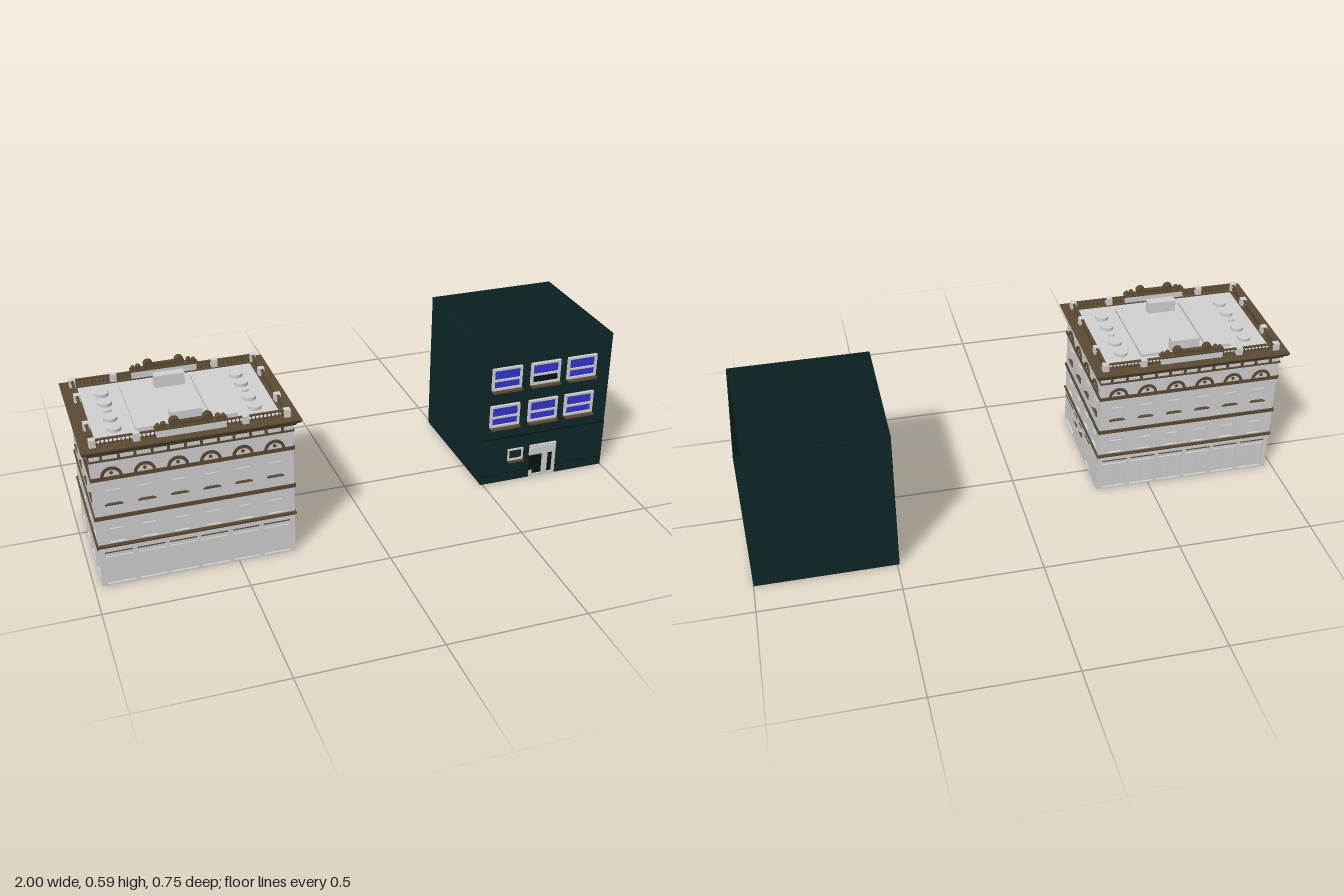
import * as THREE from 'three';
import { mergeGeometries } from 'three/addons/utils/BufferGeometryUtils.js';

const mat = (name, color, side = THREE.FrontSide) => {
  const m = new THREE.MeshStandardMaterial({ color, side });
  m.name = name;
  return m;
};

export function createModel() {
  const stone = mat('pale stone', 0xd0d0d0);
  const trim = mat('brown trim', 0x5c4a32);
  const teal = mat('dark teal wall', 0x0e2628);
  const glass = mat('blue glass', 0x3434d0);
  const ink = mat('black line', 0x081414);

  const root = new THREE.Group();
  root.name = 'twoBuildings';
  const group = (parent, name) => {
    const g = new THREE.Group();
    g.name = name;
    parent.add(g);
    return g;
  };
  const add = (parent, name, geo, m) => {
    const mesh = new THREE.Mesh(geo, m);
    mesh.name = name;
    parent.add(mesh);
    return mesh;
  };
  // Box given by its minimum and maximum corners
  const boxGeo = (x0, x1, y0, y1, z0, z1) =>
    new THREE.BoxGeometry(x1 - x0, y1 - y0, z1 - z0).translate((x0 + x1) / 2, (y0 + y1) / 2, (z0 + z1) / 2);
  const box = (p, name, m, ...b) => add(p, name, boxGeo(...b), m);
  const rectPath = (T, x0, x1, y0, y1) => {
    const s = new T();
    s.moveTo(x0, y0).lineTo(x1, y0).lineTo(x1, y1).lineTo(x0, y1).closePath();
    return s;
  };

  // ---------- Ornate building (local origin at its plan centre) ----------
  const HX = 0.3375, HZ = 0.2355, T = 0.008;
  const ornate = group(root, 'ornateBuilding');
  ornate.position.set(-0.635, 0, 0.1125);

  // Moulding: profile of [offset from wall, y] swept round the rectangle
  const moulding = (name, profile, m) => {
    const pos = [];
    const ring = ([o, y]) => [[-HX - o, y, HZ + o], [HX + o, y, HZ + o], [HX + o, y, -HZ - o], [-HX - o, y, -HZ - o]];
    for (let i = 0; i < profile.length - 1; i++) {
      const a = ring(profile[i]), b = ring(profile[i + 1]);
      for (let k = 0; k < 4; k++) {
        const n = (k + 1) % 4;
        pos.push(...a[k], ...a[n], ...b[n], ...a[k], ...b[n], ...b[k]);
      }
    }
    const g = new THREE.BufferGeometry();
    g.setAttribute('position', new THREE.Float32BufferAttribute(pos, 3));
    g.computeVertexNormals();
    return add(ornate, name, g, m);
  };

  box(ornate, 'core', stone, -HX + T, HX - T, 0, 0.525, -HZ + T, HZ - T);

  // One facade: pierced wall panel, windows, arched hoods and brackets
  const facade = (name, half, depth, angle, bays, ground) => {
    const f = group(ornate, name);
    f.rotation.y = angle;
    const pitch = (half * 2 - 0.022) / bays;
    const centres = Array.from({ length: bays }, (_, i) => (i - (bays - 1) / 2) * pitch);
    const wall = rectPath(THREE.Shape, -half, half, 0, 0.505);
    const hole = (...r) => wall.holes.push(rectPath(THREE.Path, ...r));
    const pale = [], brown = [];
    const z = depth;
    for (const c of centres) {
      for (const [y0, y1] of [[0.168, 0.256], [0.315, 0.404]]) {
        hole(c - 0.029, c + 0.029, y0, y1);
        const mid = (y0 + y1) / 2 + 0.005;
        pale.push(boxGeo(c - 0.029, c + 0.029, mid - 0.002, mid + 0.002, z - T, z - 0.003));
        for (const s of [-1, 1])
          pale.push(boxGeo(c + s * 0.026 - 0.003, c + s * 0.026 + 0.003, y0, y1, z - T, z - 0.003));
      }
      brown.push(boxGeo(c - 0.03, c + 0.03, 0.312, 0.316, z - T, z + 0.003));
      // Arched hood with medallion
      const arch = new THREE.Shape();
      arch.absarc(0, 0, 0.036, 0, Math.PI, false);
      arch.absarc(0, 0, 0.026, Math.PI, 0, true);
      const hood = new THREE.ExtrudeGeometry(arch, { depth: 0.005, bevelEnabled: false, curveSegments: 12 });
      brown.push(hood.toNonIndexed ? hood.translate(c, 0.42, z) : hood);
      brown.push(new THREE.CylinderGeometry(0.006, 0.006, 0.006, 12).rotateX(Math.PI / 2).toNonIndexed().translate(c, 0.434, z));
      // Paired cornice brackets
      for (const s of [-1, 1])
        brown.push(boxGeo(c + s * 0.028 - 0.004, c + s * 0.028 + 0.004, 0.485, 0.507, z, z + 0.009));
    }
    // Ground floor openings, either given or one shopfront per bay
    const openings = ground || centres.map(c => [c - pitch * 0.43, c + pitch * 0.43, 0.006, 0.13]);
    for (const [x0, x1, y0, y1] of openings) {
      hole(x0, x1, y0, y1);
      brown.push(boxGeo(x0, x1, y1, y1 + 0.003, z - T, z + 0.003));
      if (x1 - x0 < 0.05) {
        brown.push(boxGeo(x0, x1, y0 - 0.003, y0, z - T, z + 0.003));
      } else if (x1 - x0 < 0.1) {
        const m = (x0 + x1) / 2;
        pale.push(boxGeo(x0, x1, 0.108, 0.111, z - T, z - 0.003), boxGeo(m - 0.0015, m + 0.0015, y0, 0.11, z - T, z - 0.003));
      }
    }
    const panel = new THREE.ExtrudeGeometry(wall, { depth: T, bevelEnabled: false });
    add(f, 'wallPanel', panel.translate(0, 0, z - T), stone);
    const flat = list => mergeGeometries(list.map(g => (g.index ? g.toNonIndexed() : g)));
    if (pale.length) add(f, 'windowBars', flat(pale), stone);
    add(f, 'hoodsSillsAndBrackets', flat(brown), trim);
  };
  facade('frontFacade', HX, HZ, 0, 6);
  facade('backFacade', HX, HZ, Math.PI, 6);
  facade('rightEndFacade', HZ, HX, -Math.PI / 2, 4);
  facade('leftEndFacade', HZ, HX, Math.PI / 2, 4, [
    [-0.225, -0.1125, 0.006, 0.13], [-0.0875, -0.0525, 0.09, 0.13],
    [-0.02, 0.015, 0.09, 0.13], [0.06, 0.12, 0.006, 0.13]]);

  // String courses and cornice
  moulding('groundFloorBand', [[0, 0.149], [0.004, 0.151], [0.006, 0.156], [0.004, 0.163], [0, 0.164]], trim);
  moulding('firstFloorBand', [[0, 0.26], [0.004, 0.26], [0.004, 0.274], [0, 0.274]], trim);
  moulding('secondFloorBand', [[0, 0.408], [0.004, 0.408], [0.004, 0.421], [0, 0.421]], trim);
  moulding('friezeBand', [[0, 0.478], [0.004, 0.478], [0.004, 0.484], [0, 0.484]], trim);
  moulding('cornice', [[0, 0.5], [0.008, 0.503], [0.012, 0.512], [0.02, 0.516], [0.026, 0.525],
    [0.026, 0.529], [-0.03, 0.53], [-0.03, 0.52]], trim);

  // Balustrade: posts, balusters and rails on all four sides
  const parapet = group(ornate, 'balustrade');
  const BX = HX - 0.016, BZ = HZ - 0.014;
  const balusters = [], posts = [];
  const spindle = new THREE.LatheGeometry(
    [[0.0018, 0], [0.0034, 0.007], [0.0016, 0.014], [0.0026, 0.022]].map(p => new THREE.Vector2(...p)), 6);
  const run = (len, place) => {
    const n = Math.round(len * 2 / 0.0135);
    for (let i = 1; i < n; i++) {
      const [x, zz] = place(-len + (2 * len * i) / n);
      balusters.push(spindle.clone().translate(x, 0.53, zz));
    }
  };
  const post = (x, zz) => posts.push(boxGeo(x - 0.011, x + 0.011, 0.529, 0.557, zz - 0.011, zz + 0.011));
  for (const s of [-1, 1]) {
    run(BX, t => [t, s * BZ]);
    run(BZ, t => [s * BX, t]);
    for (const q of [-1, 1]) {
      post(s * BX, q * BZ);
      post(s * BX, q * 0.103);
      post(s * 0.18, q * BZ);
    }
    box(parapet, 'longRail', trim, -BX, BX, 0.551, 0.555, s * BZ - 0.005, s * BZ + 0.005);
    box(parapet, 'endRail', trim, s * BX - 0.005, s * BX + 0.005, 0.551, 0.555, -BZ, BZ);
  }
  add(parapet, 'balusters', mergeGeometries(balusters), trim);
  add(parapet, 'posts', mergeGeometries(posts), stone);

  // Scrolled crests on the front and back parapets
  for (const [name, a] of [['frontCrest', 0], ['backCrest', Math.PI]]) {
    const c = group(ornate, name);
    c.rotation.y = a;
    box(c, 'crestWall', stone, -0.115, 0.115, 0.529, 0.557, BZ - 0.009, BZ + 0.009);
    box(c, 'crestLedge', trim, -0.12, 0.12, 0.557, 0.562, BZ - 0.016, BZ + 0.016);
    box(c, 'crestBar', trim, -0.045, 0.045, 0.562, 0.576, BZ - 0.008, BZ + 0.008);
    for (const [x, y, r] of [[0.055, 0.574, 0.017], [0.09, 0.568, 0.009], [0.108, 0.566, 0.007]])
      for (const s of [-1, 1]) {
        const disc = add(c, 'scroll', new THREE.CylinderGeometry(r, r, 0.024, 16).rotateX(Math.PI / 2), trim);
        disc.position.set(s * x, y, BZ);
      }
  }

  // Roof deck, skylights, chimneys and round vents
  const roof = group(ornate, 'roof');
  box(roof, 'deck', stone, -HX + 0.03, HX - 0.03, 0.515, 0.528, -HZ + 0.03, HZ - 0.03);
  for (const s of [-1, 1]) {
    box(roof, 'skylight', stone, s * 0.125 - 0.045, s * 0.125 + 0.045, 0.528, 0.54, -0.165, 0.165);
    box(roof, 'chimney', stone, -0.053, 0.053, 0.528, 0.572, s * 0.137 - 0.017, s * 0.137 + 0.017);
    for (const zz of [-0.127, -0.055, 0.055, 0.127]) {
      const v = add(roof, 'roundVent', new THREE.CylinderGeometry(0.024, 0.024, 0.012, 20), stone);
      v.position.set(s * 0.236, 0.534, zz);
    }
    const small = add(roof, 'smallVent', new THREE.CylinderGeometry(0.013, 0.013, 0.008, 16), stone);
    small.position.set(s * 0.236, 0.532, 0);
    small.scale.z = 0.5;
  }

  // ---------- Dark open-topped building ----------
  const dark = group(root, 'darkBuilding');
  const X0 = 0.492, X1 = 1, Z0 = -0.372, Z1 = 0.154, H = 0.56;
  const plan = rectPath(THREE.Shape, X0, X1, -Z1, -Z0);
  plan.holes.push(rectPath(THREE.Path, X0 + 0.003, X1 - 0.003, -Z1 + 0.003, -Z0 - 0.003));
  add(dark, 'walls', new THREE.ExtrudeGeometry(plan, { depth: H, bevelEnabled: false }).rotateX(-Math.PI / 2), teal);
  box(dark, 'floor', teal, X0, X1, 0, 0.003, Z0, Z1);
  box(dark, 'shopFront', teal, X0 - 0.002, X1, 0, 0.188, Z1, Z1 + 0.003);
  box(dark, 'shopFrontLine', ink, X0 - 0.002, X1, 0.188, 0.192, Z1, Z1 + 0.004);
  box(dark, 'plinthLine', ink, X0 - 0.002, X1, 0.034, 0.037, Z1 + 0.003, Z1 + 0.004);

  // Frame as a rectangle with a rectangular hole
  const frame = (p, x0, x1, y0, y1, w, z, d) => {
    const s = rectPath(THREE.Shape, x0, x1, y0, y1);
    s.holes.push(rectPath(THREE.Path, x0 + w, x1 - w, y0 + w, y1 - w));
    add(p, 'frame', new THREE.ExtrudeGeometry(s, { depth: d, bevelEnabled: false }).translate(0, 0, z), stone);
  };
  [0.246, 0.4].forEach((y, row) => [0.574, 0.729, 0.878].forEach((x, col) => {
    const w = group(dark, 'sashWindow');
    const mid = y + 0.039;
    frame(w, x - 0.059, x + 0.059, y, y + 0.088, 0.008, Z1, 0.011);
    box(w, 'meetingRail', stone, x - 0.051, x + 0.051, mid - 0.004, mid + 0.004, Z1, Z1 + 0.009);
    box(w, 'upperGlass', glass, x - 0.051, x + 0.051, mid, y + 0.08, Z1, Z1 + 0.004);
    const open = row === 1 && col === 1;
    box(w, 'lowerGlass', open ? ink : glass, x - 0.051, x + 0.051, y + 0.008, mid, Z1, Z1 + 0.004);
    box(w, 'sill', trim, x - 0.058, x + 0.058, y - 0.007, y, Z1, Z1 + 0.026);
  }));

  // Small ground floor window
  const shop = group(dark, 'smallWindow');
  frame(shop, 0.597, 0.66, 0.09, 0.138, 0.006, Z1 + 0.003, 0.006);
  box(shop, 'sill', trim, 0.597, 0.66, 0.085, 0.09, Z1 + 0.003, Z1 + 0.02);

  // Entrance: transom, side light and door leaf
  const door = group(dark, 'entrance');
  const dz = Z1 + 0.003;
  box(door, 'darkGlass', ink, 0.69, 0.795, 0.004, 0.138, dz, dz + 0.002);
  box(door, 'transom', stone, 0.687, 0.797, 0.098, 0.128, dz, dz + 0.007);
  box(door, 'lintel', stone, 0.687, 0.797, 0.132, 0.14, dz, dz + 0.009);
  for (const [a, b, y0, y1] of [[0.69, 0.702, 0.012, 0.03], [0.742, 0.764, 0.004, 0.1], [0.785, 0.797, 0.004, 0.1], [0.69, 0.797, 0.004, 0.014]])
    box(door, 'doorFrame', stone, a, b, y0, y1, dz, dz + 0.007);
  return root;
}
